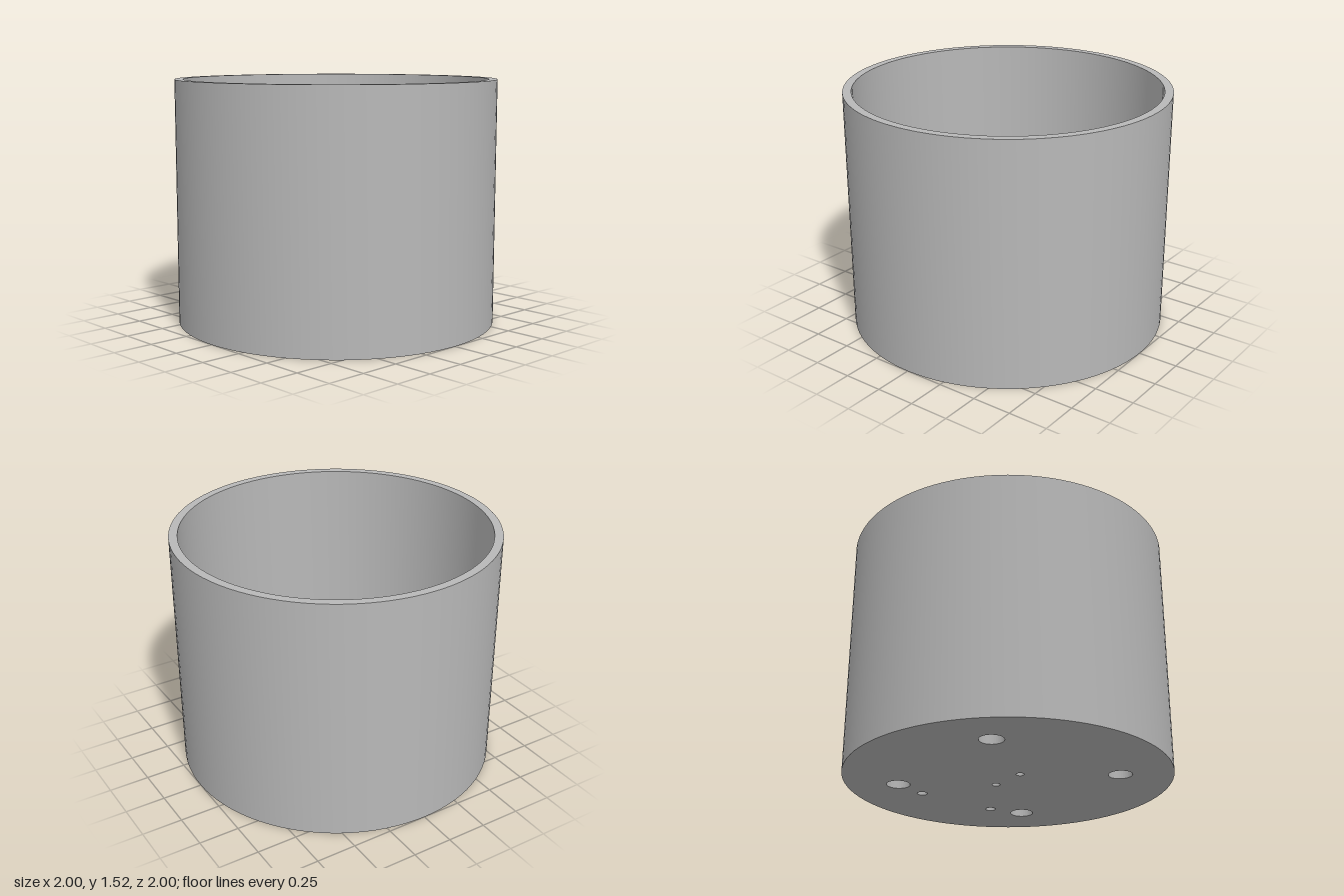
import * as THREE from 'three';
import { toCreasedNormals } from 'three/addons/utils/BufferGeometryUtils.js';

const HEIGHT = 1.52, OUTER = 1, INNER = 0.947, FLOOR = 0.06;
const SEGMENTS = 96;

// Plan outlines are drawn as (x, z)
function circle(x, z, r, Type = THREE.Path) {
  return new Type().absarc(x, z, r, 0, Math.PI * 2, false);
}

function rect(w, d, Type = THREE.Path) {
  const x = w / 2, z = d / 2;
  return new Type([[-x, -z], [x, -z], [x, z], [-x, z]].map(p => new THREE.Vector2(...p)));
}

export function createModel() {
  const group = new THREE.Group();
  const grey = new THREE.MeshStandardMaterial({ color: 0xb8b8b8 });
  grey.name = 'plain grey';

  function add(name, geometry) {
    const mesh = new THREE.Mesh(toCreasedNormals(geometry, 0.6), grey);
    mesh.name = name;
    group.add(mesh);
    return mesh;
  }

  // Raise a plan outline with holes from one height to another
  function plate(name, shape, holes, bottom, top, curveSegments = 32) {
    shape.holes.push(...holes);
    const geometry = new THREE.ExtrudeGeometry(shape, {
      depth: top - bottom, bevelEnabled: false, curveSegments,
    });
    geometry.rotateX(Math.PI / 2).translate(0, top, 0);
    return add(name, geometry);
  }

  // Cylindrical wall with a flat rim
  const profile = [[INNER, 0], [OUTER, 0], [OUTER, HEIGHT], [INNER, HEIGHT], [INNER, 0]]
    .map(p => new THREE.Vector2(...p));
  add('wall', new THREE.LatheGeometry(profile, SEGMENTS));

  // Floor with four large holes, two small ones and the two tie holes
  const floorHoles = [];
  for (const s of [-1, 1]) {
    for (const z of [-0.48, 0.48]) floorHoles.push(circle(s * 0.48, z, 0.073));
    floorHoles.push(circle(s * 0.267, -0.537, 0.032));
    floorHoles.push(circle(0, s * 0.12, 0.025));
  }
  plate('floor', circle(0, 0, INNER, THREE.Shape), floorHoles, 0, FLOOR, SEGMENTS);

  // Slotted block over the tie holes
  plate('slottedBlock', rect(0.21, 0.316, THREE.Shape), [rect(0.05, 0.286)], FLOOR, FLOOR + 0.08);

  for (const s of [-1, 1]) {
    // Hollow screw posts left and right
    plate('screwPost', circle(s * 0.393, 0, 0.07, THREE.Shape),
      [circle(s * 0.393, 0, 0.038)], FLOOR, FLOOR + 0.1);
    // Small support blocks front and back
    const block = plate('supportBlock', rect(0.176, 0.086, THREE.Shape), [], FLOOR, FLOOR + 0.08);
    block.position.z = s * 0.31;
  }

  // Round pad near the front
  plate('roundPad', circle(0, 0.57, 0.139, THREE.Shape), [], FLOOR, FLOOR + 0.04);

  return group;
}
